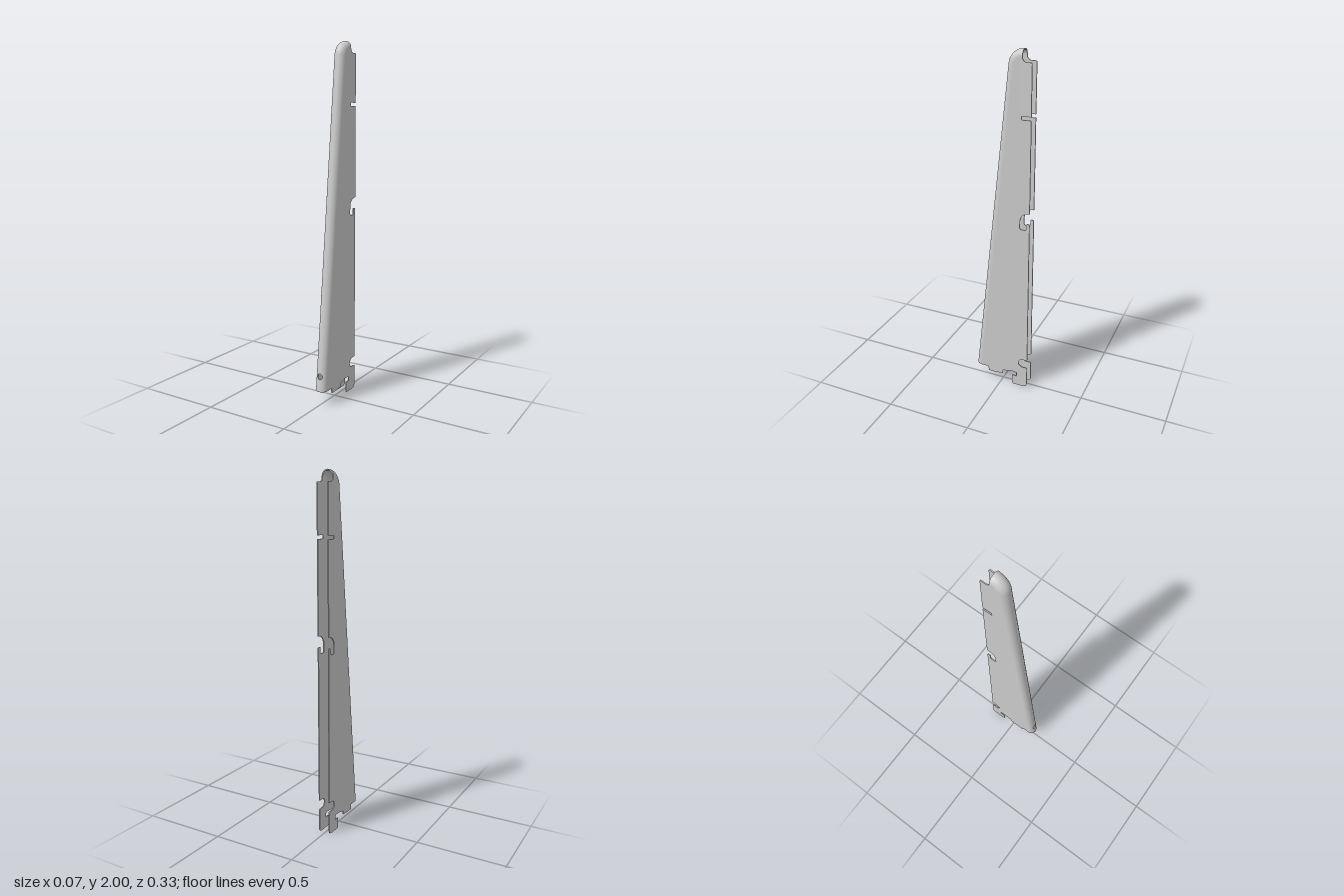
import * as THREE from 'three';
import { mergeVertices } from 'three/addons/utils/BufferGeometryUtils.js';

const R = 0.035, T = 0.006;               // half width of the channel, sheet thickness
const Y0 = 0.08, Y1 = 1.924;              // straight run of the front edge
const TILT = 0.107, ARC = 0.085;          // lean of the front edge, radius of the top bend
const ARC_Z = -0.115, ARC_Y = 1.915;
const HOLE = { y: 0.165, r: 0.016, half: 0.04 };
const COLS = 24, ROWS = 8, H = Math.PI / 2;

// Front edge point (z, y) and outward angle; t 0..1 is the straight run, 1..2 the bend
function frame(t) {
  if (t <= 1) {
    return { z: 0.167 + (-0.0305 - 0.167) * t, y: Y0 + (Y1 - Y0) * t, phi: TILT * t };
  }
  const phi = TILT + (H - TILT) * (t - 1);
  return { z: ARC_Z + ARC * Math.cos(phi), y: ARC_Y + ARC * Math.sin(phi), phi };
}
const tOf = (y) => (y - Y0) / (Y1 - Y0);

// Point on the half-round channel: angle a across, t along, depth inward
function skinPoint(a, t, depth) {
  const f = frame(t), k = (R - depth) * Math.cos(a) - R;
  return [(R - depth) * Math.sin(a), f.y + Math.sin(f.phi) * k, f.z + Math.cos(f.phi) * k];
}

function quadsToGeometry(quads) {
  const pos = [];
  for (const [a, b, c, d] of quads) pos.push(...a, ...b, ...c, ...a, ...c, ...d);
  let g = new THREE.BufferGeometry();
  g.setAttribute('position', new THREE.Float32BufferAttribute(pos, 3));
  g = mergeVertices(g, 1e-5);
  g.computeVertexNormals();
  return g;
}

const lerp = THREE.MathUtils.lerp;
const angleAt = (i) => lerp(-H, H, i / COLS);

// Rectangle around the hole, counter-clockwise in (angle, y)
function patchOutline() {
  const lo = HOLE.y - HOLE.half, hi = HOLE.y + HOLE.half, pts = [];
  for (let i = 0; i < COLS; i++) pts.push([angleAt(i), lo]);
  for (let j = 0; j < ROWS; j++) pts.push([H, lerp(lo, hi, j / ROWS)]);
  for (let i = COLS; i > 0; i--) pts.push([angleAt(i), hi]);
  for (let j = ROWS; j > 0; j--) pts.push([-H, lerp(lo, hi, j / ROWS)]);
  return pts;
}

// Ring k steps from the rectangle (0) to the hole's circle (1)
function patchRing(s) {
  return patchOutline().map(([a, y]) => {
    const ang = Math.atan2(y - HOLE.y, a * R);
    return [lerp(a, HOLE.r * Math.cos(ang) / R, s), lerp(y, HOLE.y + HOLE.r * Math.sin(ang), s)];
  });
}

function skin(depth, flip) {
  const quads = [];
  const add = (...q) => quads.push(flip ? q.reverse() : q);
  const band = (t0, t1) => {
    for (let i = 0; i < COLS; i++) {
      const a = angleAt(i), b = angleAt(i + 1);
      add(skinPoint(a, t0, depth), skinPoint(b, t0, depth), skinPoint(b, t1, depth), skinPoint(a, t1, depth));
    }
  };
  band(0, tOf(HOLE.y - HOLE.half));
  const start = tOf(HOLE.y + HOLE.half);
  for (let j = 0; j < 10; j++) band(lerp(start, 1, j / 10), lerp(start, 1, (j + 1) / 10));
  for (let j = 0; j < 16; j++) band(1 + j / 16, 1 + (j + 1) / 16);
  for (let j = 0; j < 8; j++) {
    const outer = patchRing(j / 8), inner = patchRing((j + 1) / 8);
    const p = ([a, y]) => skinPoint(a, tOf(y), depth);
    for (let k = 0; k < outer.length; k++) {
      const n = (k + 1) % outer.length;
      add(p(outer[k]), p(outer[n]), p(inner[n]), p(inner[k]));
    }
  }
  return quadsToGeometry(quads);
}

// Strip closing the sheet's thickness along a row of [angle, t]
function rim(row) {
  const quads = [];
  for (let i = 0; i + 1 < row.length; i++) {
    const [a, b] = [row[i], row[i + 1]];
    quads.push([skinPoint(...a, T), skinPoint(...b, T), skinPoint(...b, 0), skinPoint(...a, 0)]);
  }
  return quadsToGeometry(quads);
}

// Side plate outline in (z, y), with the hooks and notches of the back edge
function plateShape() {
  const s = new THREE.Shape();
  const inner = (t) => {
    const f = frame(t);
    return [f.z - R * Math.cos(f.phi), f.y - R * Math.sin(f.phi)];
  };
  const B = -0.167;
  s.moveTo(...inner(0));
  s.lineTo(...inner(1));
  for (let i = 1; i <= 16; i++) s.lineTo(...inner(1 + i / 16));
  // top shoulder
  s.quadraticCurveTo(-0.115, 1.94, -0.138, 1.938);
  s.lineTo(B + 0.008, 1.938);
  s.quadraticCurveTo(B, 1.938, B, 1.93);
  // thin slot
  s.lineTo(B, 1.669);
  s.lineTo(-0.113, 1.669);
  s.lineTo(-0.113, 1.65);
  s.lineTo(B, 1.65);
  // middle hook
  s.lineTo(B, 1.139);
  s.bezierCurveTo(-0.135, 1.139, -0.111, 1.12, -0.111, 1.085);
  s.lineTo(-0.111, 1.05);
  s.quadraticCurveTo(-0.111, 1.041, -0.12, 1.041);
  s.lineTo(-0.138, 1.041);
  s.quadraticCurveTo(-0.147, 1.041, -0.147, 1.05);
  s.lineTo(-0.147, 1.07);
  s.quadraticCurveTo(-0.147, 1.079, -0.156, 1.079);
  s.quadraticCurveTo(B, 1.079, B, 1.07);
  // lower rounded notch
  s.lineTo(B, 0.2);
  s.quadraticCurveTo(B, 0.191, -0.158, 0.191);
  s.lineTo(-0.138, 0.191);
  s.absarc(-0.138, 0.1645, 0.0265, H, -H, true);
  s.lineTo(-0.158, 0.138);
  s.quadraticCurveTo(B, 0.138, B, 0.129);
  // bottom hook
  s.lineTo(B, 0.025);
  s.quadraticCurveTo(B, 0, -0.142, 0);
  s.lineTo(-0.08, 0);
  s.quadraticCurveTo(-0.072, 0, -0.072, 0.008);
  s.lineTo(-0.072, 0.062);
  s.lineTo(-0.1, 0.062);
  s.lineTo(-0.1, 0.085);
  // stepped bottom edge
  s.lineTo(-0.09, 0.09);
  s.lineTo(-0.06, 0.09);
  s.lineTo(-0.01, 0.078);
  s.lineTo(-0.01, 0.058);
  s.lineTo(0.03, 0.052);
  s.lineTo(0.083, 0.052);
  s.lineTo(0.085, Y0);
  s.closePath();
  return s;
}

export function createModel() {
  const group = new THREE.Group();
  group.name = 'shelfBracket';
  const material = new THREE.MeshStandardMaterial({ color: 0xcccccc, side: THREE.DoubleSide });
  const add = (name, geometry) => {
    const mesh = new THREE.Mesh(geometry, material);
    mesh.name = name;
    group.add(mesh);
    return mesh;
  };

  // Rounded front channel with its screw hole
  add('frontChannelOuter', skin(0, false));
  add('frontChannelInner', skin(T, true));
  const across = Array.from({ length: COLS + 1 }, (_, i) => angleAt(i));
  add('channelBottomRim', rim(across.map((a) => [a, 0])));
  add('channelTopRim', rim(across.map((a) => [a, 2]).reverse()));
  const circle = patchRing(1).map(([a, y]) => [a, tOf(y)]);
  add('screwHoleWall', rim([...circle, circle[0]].reverse()));

  // Two side plates
  const plate = new THREE.ExtrudeGeometry(plateShape(), { depth: T, bevelEnabled: false, curveSegments: 10 });
  plate.rotateY(-H);
  add('leftPlate', plate).position.x = R;
  add('rightPlate', plate).position.x = T - R;
  return group;
}
